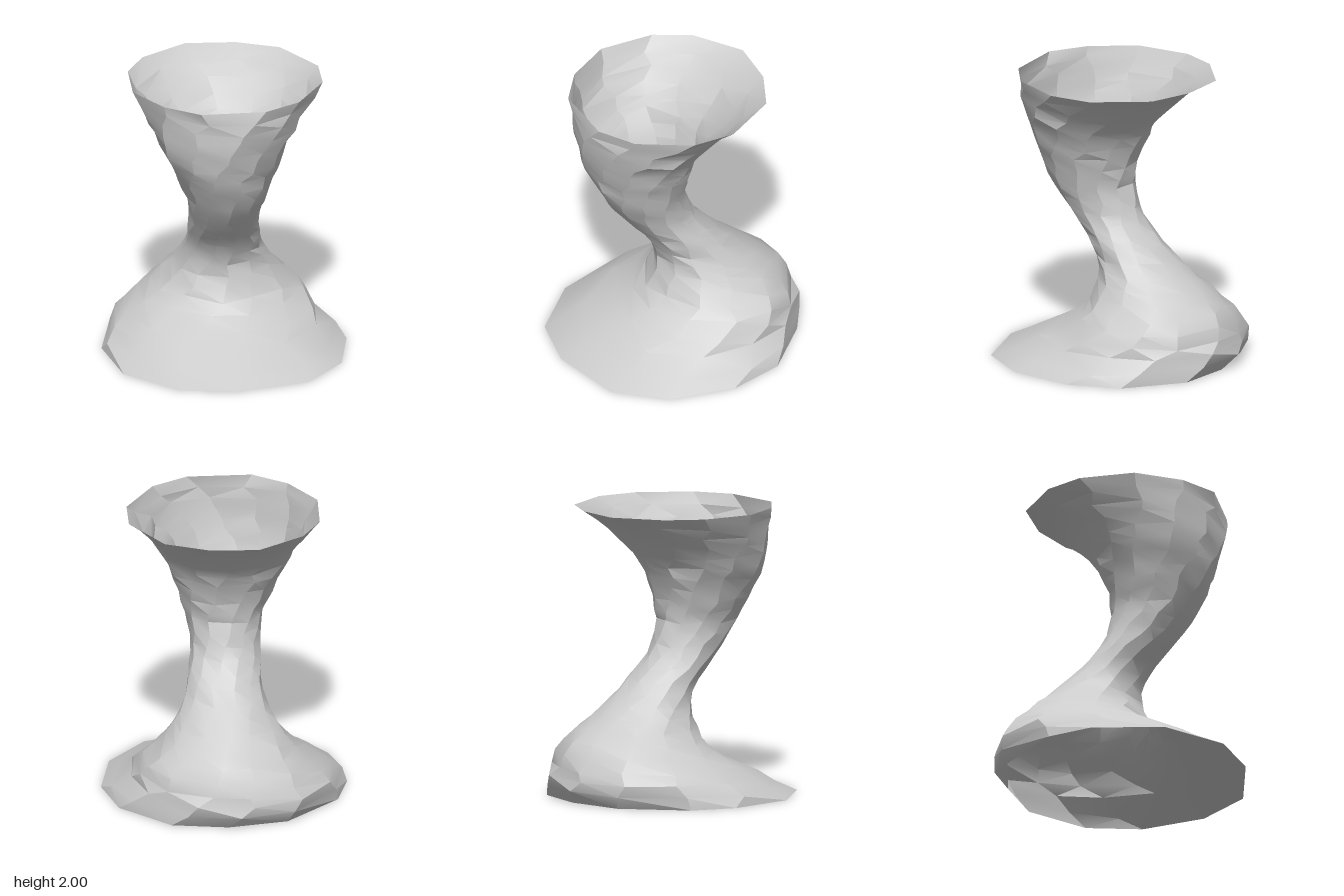
import * as THREE from 'three';
import { toCreasedNormals } from 'three/addons/utils/BufferGeometryUtils.js';

const SIDES = 12, RINGS = 25, TWIST = 0.45;

// Outline at height y: [y, xMin, xMax, zMin, zMax]
const PROFILE = [
  [0, -0.85, 0.84, -0.80, 0.88],
  [0.1, -0.82, 0.73, -0.89, 0.68],
  [0.2, -0.72, 0.62, -0.87, 0.48],
  [0.3, -0.61, 0.58, -0.82, 0.28],
  [0.4, -0.49, 0.47, -0.77, 0.20],
  [0.5, -0.40, 0.38, -0.66, 0.15],
  [0.6, -0.33, 0.31, -0.52, 0.13],
  [0.7, -0.29, 0.25, -0.40, 0.15],
  [0.8, -0.27, 0.24, -0.29, 0.20],
  [0.9, -0.27, 0.21, -0.19, 0.28],
  [1.0, -0.27, 0.20, -0.11, 0.37],
  [1.2, -0.30, 0.24, -0.05, 0.52],
  [1.4, -0.39, 0.30, -0.07, 0.62],
  [1.6, -0.49, 0.38, -0.16, 0.69],
  [1.8, -0.58, 0.50, -0.33, 0.72],
  [1.9, -0.64, 0.57, -0.46, 0.72],
  [2, -0.70, 0.64, -0.63, 0.73],
];

function outlineAt(y) {
  let k = 0;
  while (k < PROFILE.length - 2 && PROFILE[k + 1][0] < y) k++;
  const a = PROFILE[k], b = PROFILE[k + 1];
  const t = (y - a[0]) / (b[0] - a[0]);
  return a.map((v, i) => THREE.MathUtils.lerp(v, b[i], t));
}

function seeded(seed) {
  return () => {
    seed = (seed * 16807) % 2147483647;
    return seed / 2147483647 - 0.5;
  };
}

// Open tube lofted through twisting, slightly uneven polygon rings
function twistedTube() {
  const random = seeded(77);
  const positions = [], index = [];
  for (let i = 0; i <= RINGS; i++) {
    const end = i === 0 || i === RINGS;
    const ringY = (2 * i) / RINGS;
    for (let j = 0; j < SIDES; j++) {
      const y = ringY + (end ? 0 : random() * 0.03);
      const [, x0, x1, z0, z1] = outlineAt(y);
      const angle = (j / SIDES) * Math.PI * 2 + i * TWIST + random() * 0.16;
      const r = 1.015 + random() * 0.05;
      positions.push(
        (x0 + x1) / 2 + Math.cos(angle) * r * (x1 - x0) / 2,
        y,
        (z0 + z1) / 2 + Math.sin(angle) * r * (z1 - z0) / 2,
      );
    }
  }
  for (let i = 0; i < RINGS; i++) {
    for (let j = 0; j < SIDES; j++) {
      const n = (j + 1) % SIDES;
      const a = i * SIDES + j, b = i * SIDES + n;
      const c = a + SIDES, d = b + SIDES;
      index.push(a, c, b, b, c, d);
    }
  }
  const geometry = new THREE.BufferGeometry();
  geometry.setAttribute('position', new THREE.Float32BufferAttribute(positions, 3));
  geometry.setIndex(index);
  return toCreasedNormals(geometry, 0.4);
}

export function createModel() {
  const group = new THREE.Group();
  group.name = 'twistedFunnel';
  const material = new THREE.MeshStandardMaterial({ color: 0xcccccc, side: THREE.DoubleSide });
  const wall = new THREE.Mesh(twistedTube(), material);
  wall.name = 'funnelWall';
  group.add(wall);
  return group;
}
